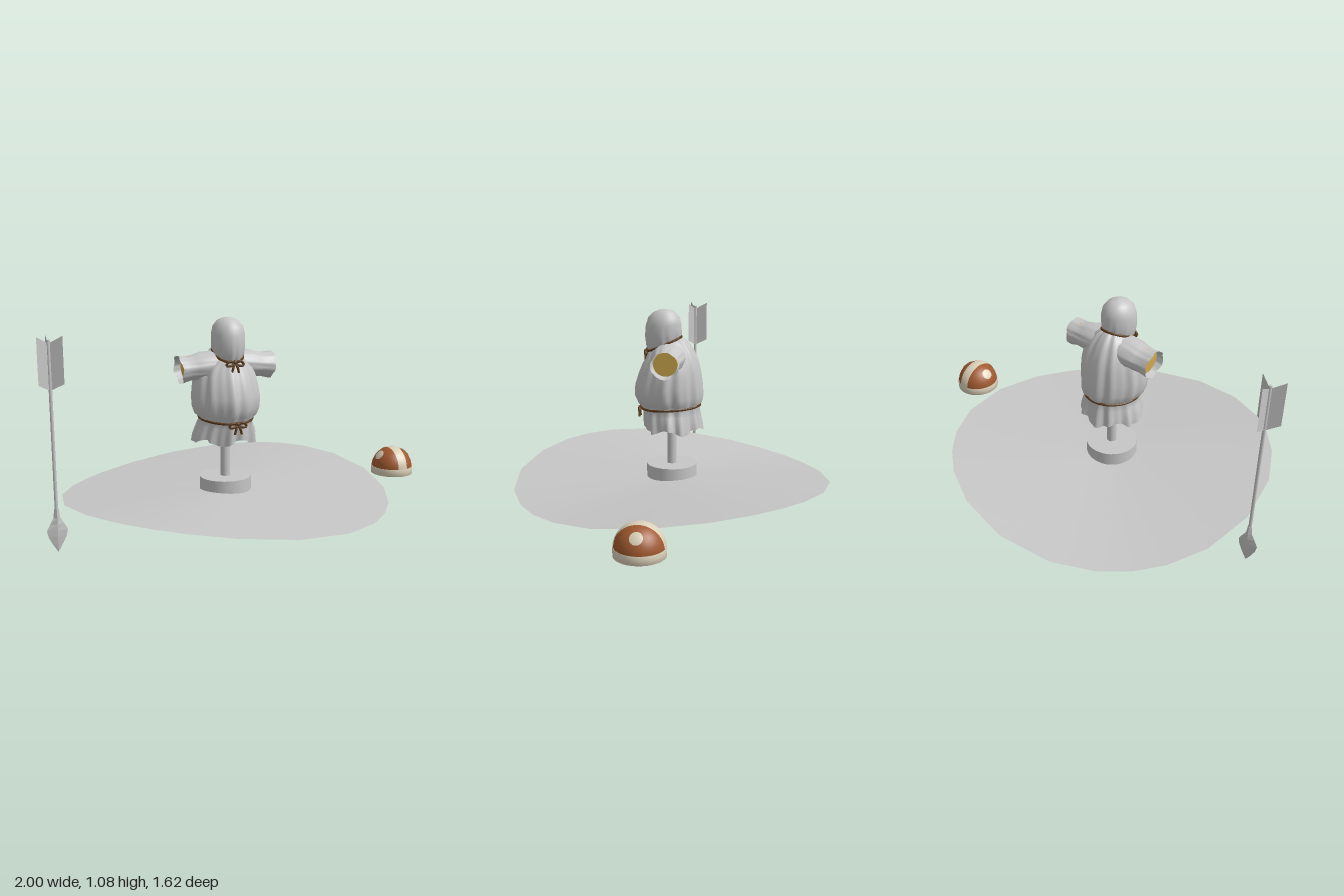
import * as THREE from 'three';

const mat = (name, color, side = THREE.FrontSide) => {
  const m = new THREE.MeshStandardMaterial({ color, side });
  m.name = name;
  return m;
};

// Lofts rings of { y, x, z, rx, rz, tilt, fold, wave } along +y; fold ripples the radius, wave the height.
function loft(rings, sides = 72, faceted = false) {
  const pos = [], index = [];
  rings.forEach(({ y, x = 0, z = 0, rx, rz = rx, tilt = 0, fold = 0, wave = 0 }) => {
    for (let i = 0; i < sides; i++) {
      const a = (i / sides) * Math.PI * 2;
      const f = 1 + fold * (0.6 * Math.sin(11 * a + 0.8) + 0.4 * Math.sin(18 * a + 2) + 0.3 * Math.cos(4 * a));
      const dz = Math.sin(a) * rz * f;
      pos.push(x + Math.cos(a) * rx * f, y + tilt * dz + wave * Math.sin(5 * a + 1), z + dz);
    }
  });
  for (let j = 0; j < rings.length - 1; j++) {
    for (let i = 0; i < sides; i++) {
      const a = j * sides + i, b = j * sides + ((i + 1) % sides);
      index.push(a, a + sides, b, b, a + sides, b + sides);
    }
  }
  let geo = new THREE.BufferGeometry();
  geo.setAttribute('position', new THREE.Float32BufferAttribute(pos, 3));
  geo.setIndex(index);
  if (faceted) geo = geo.toNonIndexed();
  geo.computeVertexNormals();
  return geo;
}

export function createModel() {
  const model = new THREE.Group();
  model.name = 'trainingDummySet';
  const grey = mat('plain grey', 0xc6c6c6, THREE.DoubleSide);
  const straw = mat('straw gold', 0xd8b052);
  const cord = mat('cord brown', 0x5a3a1a);
  const brown = mat('helmet brown', 0xa0592f, THREE.DoubleSide);
  const cream = mat('helmet cream', 0xdad0b8, THREE.DoubleSide);

  const add = (parent, name, geo, material, x = 0, y = 0, z = 0) => {
    const mesh = new THREE.Mesh(geo, material);
    mesh.name = name;
    mesh.position.set(x, y, z);
    parent.add(mesh);
    return mesh;
  };
  const group = (parent, name, x = 0, y = 0, z = 0) => {
    const g = new THREE.Group();
    g.name = name;
    g.position.set(x, y, z);
    parent.add(g);
    return g;
  };

  // Warped ground disc
  const disc = new THREE.RingGeometry(0, 0.81, 24, 8).rotateX(-Math.PI / 2);
  const p = disc.attributes.position;
  for (let i = 0; i < p.count; i++) {
    const r = Math.hypot(p.getX(i), p.getZ(i));
    let a = Math.atan2(p.getZ(i), p.getX(i));
    a += 0.08 * Math.sin(4 * a);
    const lift = 0.045 * Math.pow(r / 0.81, 1.2) * Math.cos(2 * (a - 2.45));
    p.setXYZ(i, r * Math.cos(a), 0.223 + lift, r * Math.sin(a));
  }
  disc.computeVertexNormals();
  add(model, 'ground', disc, grey, -0.1);

  // Dummy stand
  const dummy = group(model, 'dummy', -0.1);
  add(dummy, 'standBase', new THREE.CylinderGeometry(0.128, 0.128, 0.1, 40), grey, 0, 0.236);
  add(dummy, 'pole', new THREE.CylinderGeometry(0.024, 0.024, 0.6, 20), grey, 0, 0.57);

  // Gathered cloth body and hooded head
  add(dummy, 'tunic', loft([
    { y: 0.475, z: -0.008, rx: 0.152, rz: 0.142, fold: 0.1, wave: 0.014 },
    { y: 0.505, z: -0.005, rx: 0.149, rz: 0.142, fold: 0.09, wave: 0.008 },
    { y: 0.55, rx: 0.136, rz: 0.14, fold: 0.06 },
    { y: 0.585, z: 0.004, rx: 0.124, rz: 0.14, tilt: -0.07, fold: 0.03 },
    { y: 0.605, z: 0.01, rx: 0.145, rz: 0.156, fold: 0.05 },
    { y: 0.645, z: 0.015, rx: 0.16, rz: 0.168, fold: 0.05 },
    { y: 0.7, z: 0.016, rx: 0.164, rz: 0.166, fold: 0.045 },
    { y: 0.76, z: 0.01, rx: 0.157, rz: 0.153, fold: 0.045 },
    { y: 0.81, z: 0.008, rx: 0.146, rz: 0.138, tilt: -0.05, fold: 0.045 },
    { y: 0.855, z: 0.012, rx: 0.126, rz: 0.116, tilt: -0.2, fold: 0.05 },
    { y: 0.888, z: 0.024, rx: 0.098, rz: 0.096, tilt: -0.35, fold: 0.05 },
    { y: 0.905, z: 0.035, rx: 0.068, rz: 0.079, tilt: -0.44, fold: 0.05 },
  ], 96), grey);
  add(dummy, 'hood', loft([
    { y: 0.9, z: 0.035, rx: 0.068, rz: 0.078, tilt: -0.44, fold: 0.05 },
    { y: 0.925, z: 0.04, rx: 0.077, rz: 0.088, tilt: -0.36, fold: 0.03 },
    { y: 0.96, z: 0.044, rx: 0.08, rz: 0.091, tilt: -0.2, fold: 0.01 },
    { y: 1.0, z: 0.043, rx: 0.08, rz: 0.089, tilt: -0.08 },
    { y: 1.035, z: 0.04, rx: 0.072, rz: 0.079 },
    { y: 1.06, z: 0.037, rx: 0.052, rz: 0.057 },
    { y: 1.072, z: 0.035, rx: 0.03, rz: 0.033 },
    { y: 1.077, z: 0.035, rx: 0.001 },
  ]), grey);

  // Open sleeves with straw inside
  const sleeveGeo = loft([
    { y: 0.06, rx: 0.066, rz: 0.085 },
    { y: 0.12, rx: 0.068, rz: 0.082, fold: 0.03 },
    { y: 0.16, rx: 0.06, rz: 0.074, fold: 0.05 },
    { y: 0.19, rx: 0.058, rz: 0.068, fold: 0.04 },
    { y: 0.215, rx: 0.062, rz: 0.069, fold: 0.03 },
    { y: 0.24, rx: 0.067, rz: 0.069, fold: 0.02, wave: 0.004 },
  ], 48);
  for (const [name, turn] of [['leftSleeve', 0], ['rightSleeve', Math.PI]]) {
    const arm = group(dummy, name, 0, 0.855, 0.005);
    arm.rotation.y = turn;
    const tilted = group(arm, name + 'Parts');
    tilted.rotation.z = -Math.PI / 2 - 0.1;
    add(tilted, 'sleeveCloth', sleeveGeo, grey);
    add(tilted, 'strawFilling', new THREE.CylinderGeometry(0.059, 0.054, 0.11, 32), straw, 0, 0.155);
  }

  // Cords tied round waist and neck, each with a bow at the front
  const tie = (name, y, z, rx, rz, slope) => {
    const points = [];
    for (let i = 0; i < 32; i++) {
      const a = (i / 32) * Math.PI * 2;
      points.push(new THREE.Vector3(Math.cos(a) * rx, -slope * Math.sin(a) * rz, Math.sin(a) * rz));
    }
    const g = group(dummy, name, 0, y, z);
    const tube = (part, pts, closed) =>
      add(g, part, new THREE.TubeGeometry(new THREE.CatmullRomCurve3(pts, closed), closed ? 80 : 16, 0.006, 8, closed), cord);
    tube('cordLoop', points, true);
    const fy = -slope * rz, fz = rz + 0.006;
    add(g, 'knot', new THREE.SphereGeometry(0.012, 12, 8), cord, 0, fy, fz);
    for (const s of [-1, 1]) {
      const at = (x, dy, dz) => new THREE.Vector3(s * x, fy + dy, fz + dz);
      tube('bowLoop', [at(0, 0, 0), at(0.03, 0.006, 0.006), at(0.045, -0.012, 0.004), at(0.02, -0.014, 0.006), at(0, 0, 0)], false);
      tube('cordEnd', [at(0, 0, 0), at(0.01, -0.02, 0.008), at(0.018, -0.048, 0.008)], false);
    }
  };
  tie('waistCord', 0.586, 0.004, 0.129, 0.147, 0.07);
  tie('neckCord', 0.904, 0.035, 0.072, 0.083, 0.44);

  // Arrow standing on its tip
  const arrow = group(model, 'arrow', -0.942, 0, -0.028);
  add(arrow, 'arrowShaft', new THREE.CylinderGeometry(0.008, 0.008, 0.82, 12), grey, 0, 0.59);
  add(arrow, 'arrowHead', loft([
    { y: 0.0, rx: 0.002 },
    { y: 0.04, rx: 0.026, rz: 0.006 },
    { y: 0.075, rx: 0.043, rz: 0.009 },
    { y: 0.105, rx: 0.049, rz: 0.01 },
    { y: 0.135, rx: 0.034, rz: 0.01 },
    { y: 0.165, rx: 0.016, rz: 0.011 },
    { y: 0.21, rx: 0.011, rz: 0.011 },
    { y: 0.215, rx: 0.001 },
  ], 4, true), grey);
  const finShape = new THREE.Shape([[0.004, 0.77], [0.067, 0.8], [0.067, 1.018], [0.004, 0.985]].map(([x, y]) => new THREE.Vector2(x, y)));
  for (let i = 0; i < 3; i++) {
    add(arrow, 'fletching', new THREE.ShapeGeometry(finShape), grey).rotation.y = Math.PI / 2 + (i * Math.PI * 2) / 3;
  }

  // Domed helmet, open underneath
  const helmet = group(model, 'helmet', 0.888, 0.222, 0);
  const R = 0.108;
  add(helmet, 'helmetDome', new THREE.SphereGeometry(R, 40, 16, 0, Math.PI * 2, 0, Math.PI / 2), brown);
  const band = [[0.104, -0.033], [0.111, -0.033], [0.112, -0.012], [0.111, 0.006], [0.107, 0.006], [0.104, -0.033]];
  add(helmet, 'helmetRim', new THREE.LatheGeometry(band.map(([x, y]) => new THREE.Vector2(x, y)), 40), cream);

  // Stripe over the crown, front to back
  const stripe = new THREE.PlaneGeometry(0.052, 1, 4, 32);
  const s = stripe.attributes.position;
  for (let i = 0; i < s.count; i++) {
    const x = s.getX(i), a = (0.5 - s.getY(i)) * Math.PI, r = Math.sqrt((R + 0.003) ** 2 - x * x);
    s.setXYZ(i, x, r * Math.sin(a), -r * Math.cos(a));
  }
  stripe.computeVertexNormals();
  add(helmet, 'helmetStripe', stripe, cream);

  // Round spots on both sides
  for (const side of [-1, 1]) {
    const spot = new THREE.SphereGeometry(R + 0.003, 24, 4, 0, Math.PI * 2, 0, 0.26);
    add(helmet, 'helmetSpot', spot, cream).rotation.z = -side * 0.85;
  }
  return model;
}
